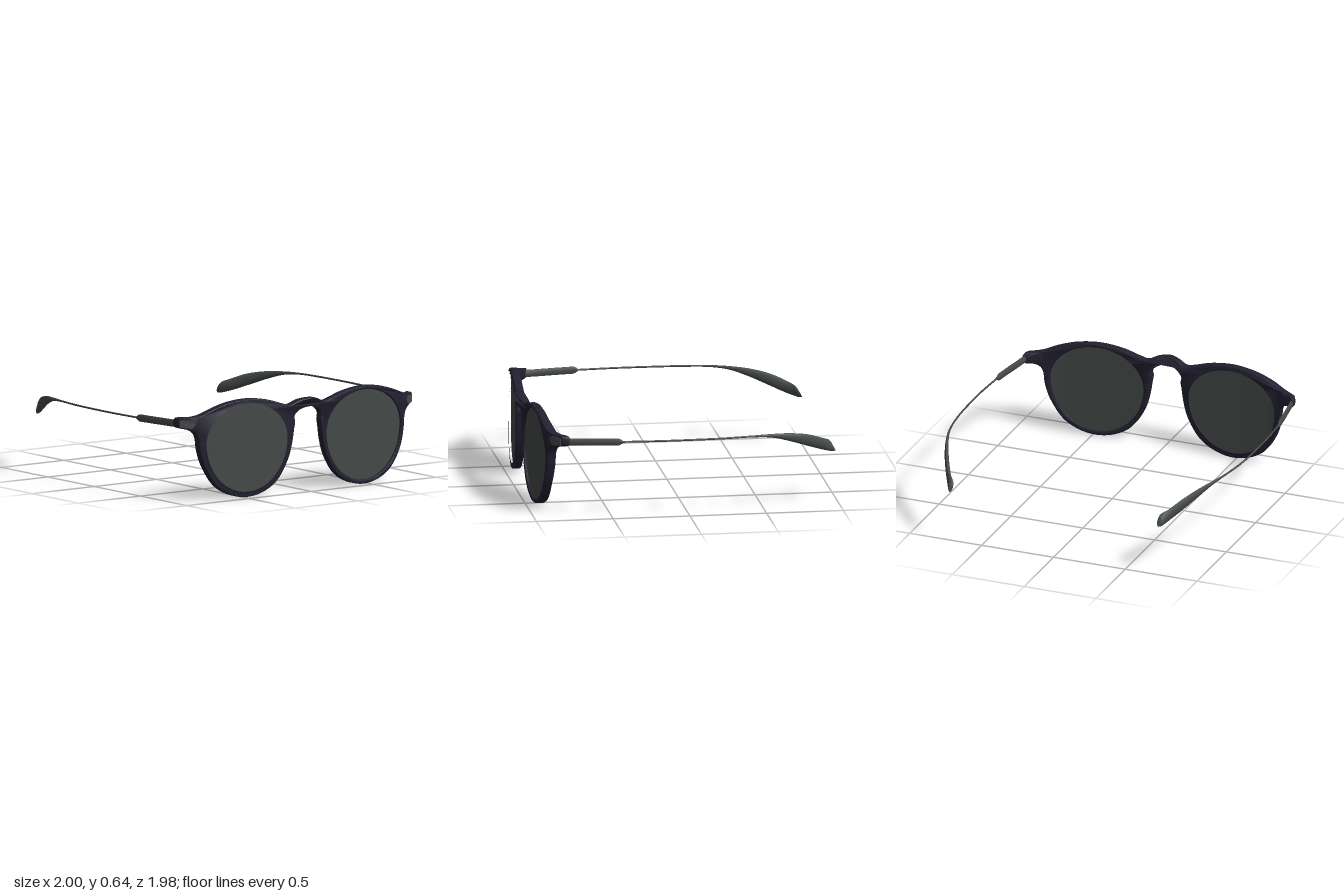
import * as THREE from 'three';
import { toCreasedNormals } from 'three/addons/utils/BufferGeometryUtils.js';

const frameMat = new THREE.MeshStandardMaterial({ name: 'dark plum acetate', color: 0x232030 });
const lensMat = new THREE.MeshStandardMaterial({ name: 'smoke lens', color: 0x434947, side: THREE.DoubleSide });
const metalMat = new THREE.MeshStandardMaterial({ name: 'gunmetal', color: 0x464c4a });

// Face curve: z of the frame's middle surface at a given x
function faceZ(x) {
  const a = Math.abs(x);
  return 0.935 - 0.075 * a * a - 1.8 * Math.max(0, a - 0.74) ** 2 + 0.03 * Math.exp(-((a / 0.08) ** 2));
}

function bend(geo) {
  const p = geo.attributes.position;
  for (let i = 0; i < p.count; i++) p.setZ(i, p.getZ(i) + faceZ(p.getX(i)));
  return geo;
}

// Lens outline: a flatter arc above, a deeper one below
function lensPoint(side, angle, r = 1) {
  const s = Math.sin(angle);
  return new THREE.Vector2(side * (0.47 + 0.315 * r * Math.cos(angle)), 0.37 + r * s * (s > 0 ? 0.247 : 0.34));
}

// Half of the frame outline, from bridge top round the rim to bridge underside
const HALF = [
  [0, 0.612], [0.07, 0.602], [0.135, 0.576], [0.2, 0.59], [0.3, 0.62], [0.46, 0.64], [0.62, 0.624],
  [0.74, 0.588], [0.82, 0.556], [0.87, 0.546], [0.925, 0.545], [0.938, 0.536], [0.94, 0.49],
  [0.93, 0.478], [0.88, 0.466], [0.845, 0.445], [0.828, 0.41], [0.818, 0.33], [0.785, 0.22],
  [0.7, 0.09], [0.59, 0.024], [0.47, 0.002], [0.35, 0.024], [0.24, 0.09], [0.155, 0.22],
  [0.122, 0.33], [0.108, 0.42], [0.101, 0.46], [0.106, 0.495], [0.09, 0.522], [0.05, 0.547], [0, 0.556],
];

function makeFrame() {
  const mirrored = HALF.slice(1, -1).reverse().map(([x, y]) => [-x, y]);
  const curve = new THREE.CatmullRomCurve3(
    [...HALF, ...mirrored].map(([x, y]) => new THREE.Vector3(x, y, 0)), true);
  const shape = new THREE.Shape(curve.getPoints(372).slice(0, -1).map(p => new THREE.Vector2(p.x, p.y)));
  for (const side of [1, -1]) {
    const hole = [];
    for (let i = 0; i < 112; i++) hole.push(lensPoint(side, (i / 112) * Math.PI * 2));
    shape.holes.push(new THREE.Path(hole));
  }
  const geo = new THREE.ExtrudeGeometry(shape, {
    depth: 0.039, bevelThickness: 0.008, bevelSize: 0.007, bevelOffset: -0.007, bevelSegments: 2,
  });
  geo.translate(0, 0, -0.0195);
  const mesh = new THREE.Mesh(toCreasedNormals(bend(geo), 0.6), frameMat);
  mesh.name = 'frontFrame';
  return mesh;
}

function makeLens(side) {
  const lens = new THREE.Group();
  lens.name = side > 0 ? 'leftLens' : 'rightLens';
  for (const z of [0.012, -0.012]) {
    const geo = new THREE.RingGeometry(0.001, 1, 96, 8);
    const p = geo.attributes.position;
    for (let i = 0; i < p.count; i++) {
      const x = p.getX(i), y = p.getY(i);
      const q = lensPoint(1, Math.atan2(y, x), Math.hypot(x, y) * 1.015);
      p.setXYZ(i, q.x, q.y, z);
    }
    bend(geo);
    if (side < 0) {
      geo.scale(-1, 1, 1);
      geo.index.array.reverse();
    }
    geo.computeVertexNormals();
    const mesh = new THREE.Mesh(geo, lensMat);
    mesh.name = z > 0 ? 'lensFront' : 'lensBack';
    lens.add(mesh);
  }
  return lens;
}

// Loft of rounded sections; each station is [x, topZ, topY, bottomZ, bottomY, width]
function loft(stations, side, sides, steps, smooth, crease) {
  const curveOf = f => new THREE.CatmullRomCurve3(stations.map(s => new THREE.Vector3(...f(s))));
  const top = curveOf(s => [s[0], s[2], s[1]]);
  const bottom = curveOf(s => [s[0], s[4], s[3]]);
  const pos = [], idx = [];
  const rows = smooth ? steps : stations.length - 1;
  const tri = (a, b, c) => (side > 0 ? idx.push(a, b, c) : idx.push(a, c, b));
  for (let i = 0; i <= rows; i++) {
    const t = i / rows, f = t * (stations.length - 1);
    const k = Math.min(Math.floor(f), stations.length - 2);
    const w = THREE.MathUtils.lerp(stations[k][5], stations[k + 1][5], f - k) / 2;
    const a = top.getPoint(t), b = bottom.getPoint(t);
    const mid = a.clone().add(b).multiplyScalar(0.5), half = a.sub(b).multiplyScalar(0.5);
    for (let j = 0; j < sides; j++) {
      const ang = ((j + 0.5) / sides) * Math.PI * 2, s = Math.sin(ang);
      pos.push(side * (mid.x + w * Math.cos(ang)), mid.y + half.y * s, mid.z + half.z * s);
    }
  }
  for (let i = 0; i < rows; i++) {
    for (let j = 0; j < sides; j++) {
      const a = i * sides + j, b = i * sides + ((j + 1) % sides);
      tri(a, a + sides, b);
      tri(b, a + sides, b + sides);
    }
  }
  const last = rows * sides;
  for (let j = 1; j < sides - 1; j++) {
    tri(0, j, j + 1);
    tri(last, last + j + 1, last + j);
  }
  const geo = new THREE.BufferGeometry();
  geo.setAttribute('position', new THREE.Float32BufferAttribute(pos, 3));
  geo.setIndex(idx);
  return toCreasedNormals(geo, crease);
}

function makeTemple(side) {
  const temple = new THREE.Group();
  temple.name = side > 0 ? 'leftTemple' : 'rightTemple';
  const add = (name, geo) => {
    const mesh = new THREE.Mesh(geo, metalMat);
    mesh.name = name;
    temple.add(mesh);
  };

  // Chamfered hinge bar behind the end piece, tapering into the wire
  add('hingeBar', loft([
    [0.93, 0.79, 0.53, 0.79, 0.48, 0.022],
    [0.942, 0.7, 0.53, 0.7, 0.48, 0.022],
    [0.958, 0.6, 0.53, 0.6, 0.48, 0.022],
    [0.977, 0.46, 0.53, 0.46, 0.48, 0.02],
    [0.981, 0.43, 0.511, 0.43, 0.499, 0.012],
  ], side, 8, 0, false, 0.5));

  // Thin wire arm that flattens into the drooping ear tip
  add('armAndTip', loft([
    [0.979, 0.45, 0.511, 0.45, 0.499, 0.012],
    [0.993, 0.2, 0.511, 0.2, 0.499, 0.012],
    [0.993, 0, 0.511, 0, 0.499, 0.012],
    [0.984, -0.22, 0.511, -0.22, 0.499, 0.012],
    [0.957, -0.42, 0.511, -0.42, 0.498, 0.013],
    [0.925, -0.54, 0.508, -0.54, 0.485, 0.018],
    [0.88, -0.67, 0.498, -0.66, 0.448, 0.026],
    [0.825, -0.8, 0.472, -0.78, 0.4, 0.032],
    [0.765, -0.91, 0.428, -0.9, 0.353, 0.036],
    [0.732, -0.945, 0.41, -0.975, 0.332, 0.038],
    [0.726, -0.96, 0.395, -0.99, 0.335, 0.028],
  ], side, 12, 70, true, 0.7));

  // Pointed metal inlay on the front of the end piece
  const plate = [[0.845, 0.506], [0.862, 0.532], [0.88, 0.534], [0.9, 0.534], [0.932, 0.528],
    [0.932, 0.484], [0.9, 0.478], [0.88, 0.478], [0.862, 0.48]];
  const geo = new THREE.ExtrudeGeometry(
    new THREE.Shape(plate.map(([x, y]) => new THREE.Vector2(side * x, y))), { depth: 0.008, bevelEnabled: false });
  geo.translate(0, 0, 0.0245);
  bend(geo).computeVertexNormals();
  add('endPieceInlay', geo);
  return temple;
}

export function createModel() {
  const model = new THREE.Group();
  model.name = 'sunglasses';
  model.add(makeFrame());
  for (const side of [1, -1]) model.add(makeLens(side), makeTemple(side));
  return model;
}
